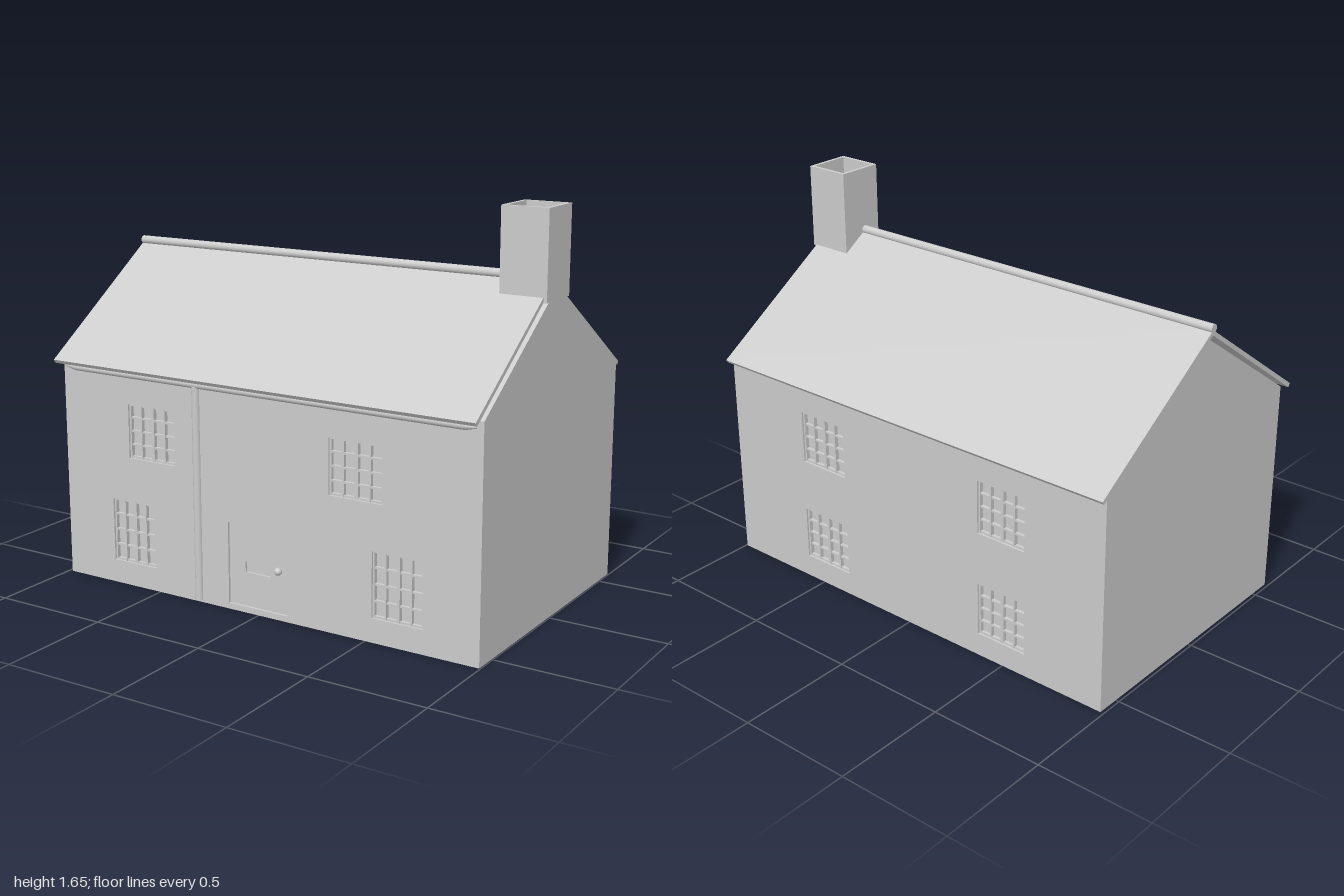
import * as THREE from 'three';

const material = new THREE.MeshStandardMaterial({ color: 0xcccccc });

function add(parent, name, geometry, x = 0, y = 0, z = 0) {
  const mesh = new THREE.Mesh(geometry, material);
  mesh.name = name;
  mesh.position.set(x, y, z);
  parent.add(mesh);
  return mesh;
}

const polygon = (points) => new THREE.Shape(points.map(([x, y]) => new THREE.Vector2(x, y)));
const rect = (x0, x1, y0, y1) => polygon([[x0, y0], [x1, y0], [x1, y1], [x0, y1]]);
const extrude = (shape, depth) => new THREE.ExtrudeGeometry(shape, { depth, bevelEnabled: false });

// Prism with a (z, y) cross-section running from x0 to x1
function prism(points, x0, x1) {
  const geometry = extrude(polygon(points.map(([z, y]) => [-z, y])), x1 - x0);
  return geometry.rotateY(Math.PI / 2).translate(x0, 0, 0);
}

// Gable outline with half depth d
function gable(d) {
  const eave = 1.35 - 0.68 * d;
  return [[-d, 0], [d, 0], [d, eave], [0.004, 1.35], [-d, eave]];
}

const X0 = -0.985, X1 = 0.995, FACE = 0.6, GLASS = 0.575;

// Openings as [x0, x1, y0, y1]
const frontWindows = [
  [-0.645, -0.405, 0.56, 0.79], [0.335, 0.575, 0.56, 0.79],
  [-0.74, -0.52, 0.1, 0.37], [0.53, 0.755, 0.1, 0.37],
];
const backWindows = [
  [-0.61, -0.375, 0.56, 0.79], [0.345, 0.585, 0.56, 0.79],
  [-0.61, -0.375, 0.1, 0.33], [0.345, 0.59, 0.1, 0.33],
];
const doorway = [-0.145, 0.14, 0.025, 0.37];

// Wall skin pierced by its openings
function wallSkin(openings) {
  const shape = rect(X0 + 0.02, X1 - 0.02, 0, 0.942);
  openings.forEach((o) => shape.holes.push(rect(...o)));
  return extrude(shape, FACE - GLASS);
}

// Frame and glazing bars, four panes by four
function makeWindow([x0, x1, y0, y1], z) {
  const group = new THREE.Group();
  group.name = 'window';
  const w = x1 - x0, h = y1 - y0, cx = (x0 + x1) / 2, cy = (y0 + y1) / 2;
  for (let i = 0; i <= 4; i++) {
    const t = i === 2 ? 0.014 : 0.008;
    const inset = i === 0 ? 0.004 : i === 4 ? -0.004 : 0;
    add(group, 'uprightBar', new THREE.BoxGeometry(t, h, 0.018), x0 + (w * i) / 4 + inset, cy, z);
    add(group, 'crossBar', new THREE.BoxGeometry(w, 0.008, 0.014), cx, y0 + (h * i) / 4 + inset, z);
  }
  return group;
}

export function createModel() {
  const house = new THREE.Group();
  house.name = 'cottage';

  // Walls: inner core, full gable ends, front and back skins
  const walls = new THREE.Group();
  walls.name = 'walls';
  house.add(walls);
  add(walls, 'core', prism(gable(GLASS), X0 + 0.02, X1 - 0.02));
  add(walls, 'rightGable', prism(gable(FACE), X0, X0 + 0.02));
  add(walls, 'leftGable', prism(gable(FACE), X1 - 0.02, X1));
  add(walls, 'frontWall', wallSkin([...frontWindows, doorway]), 0, 0, GLASS);
  add(walls, 'backWall', wallSkin(backWindows), 0, 0, -FACE);

  // Windows
  frontWindows.forEach((o) => house.add(makeWindow(o, GLASS + 0.008)));
  backWindows.forEach((o) => house.add(makeWindow(o, -GLASS - 0.008)));

  // Door with letterbox and knob
  const door = new THREE.Group();
  door.name = 'door';
  house.add(door);
  const leaf = rect(-0.143, 0.138, 0.027, 0.368);
  leaf.holes.push(rect(-0.065, 0.055, 0.17, 0.215));
  add(door, 'doorLeaf', extrude(leaf, 0.018), 0, 0, GLASS);
  add(door, 'letterboxFlap', new THREE.BoxGeometry(0.12, 0.045, 0.008), -0.005, 0.1925, GLASS + 0.004);
  add(door, 'knob', new THREE.SphereGeometry(0.016, 20, 14), 0.097, 0.205, 0.6);

  // Roof slopes and ridge roll
  add(house, 'frontRoof', prism([[0.637, 0.93], [0.648, 0.945], [0.03, 1.374], [0.03, 1.353]], -1, 0.985));
  add(house, 'backRoof', prism([[-0.638, 0.918], [0.03, 1.357], [0.03, 1.377], [-0.648, 0.932]], -1, 0.985));
  add(house, 'ridge', new THREE.CylinderGeometry(0.018, 0.018, 1.94, 20).rotateZ(Math.PI / 2), -0.03, 1.38, 0.033);

  // Hollow chimney
  const stack = rect(0.8, 1, -0.115, 0.087);
  stack.holes.push(rect(0.815, 0.985, -0.1, 0.072));
  add(house, 'chimney', extrude(stack, 0.36).rotateX(-Math.PI / 2), 0, 1.295, 0);

  // Gutter with tapered ends, and downpipe
  const profile = [[0, -0.97], [0.005, -0.97], [0.016, -0.92], [0.016, 0.92], [0.005, 0.965], [0, 0.965]];
  const gutter = new THREE.LatheGeometry(profile.map(([r, y]) => new THREE.Vector2(r, y)), 20);
  add(house, 'gutter', gutter.rotateZ(-Math.PI / 2), 0, 0.917, 0.6);
  add(house, 'downpipe', new THREE.CylinderGeometry(0.018, 0.018, 0.9, 20), -0.295, 0.46, 0.598);

  return house;
}
